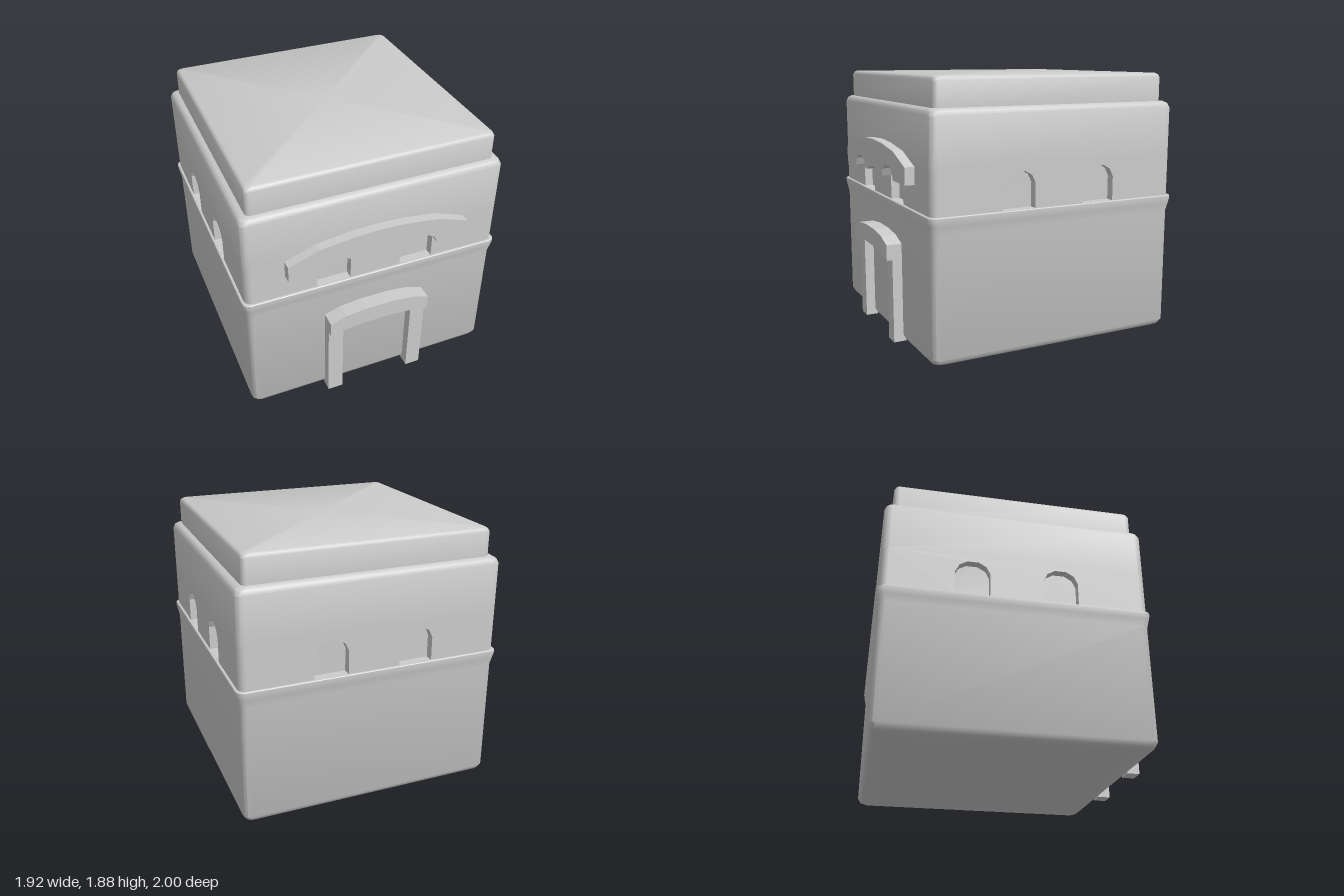
import * as THREE from 'three';
import { toCreasedNormals } from 'three/addons/utils/BufferGeometryUtils.js';

const MAT = new THREE.MeshStandardMaterial({ color: 0xcccccc });
const HX = 0.94, HZ = 0.935, CZ = -0.045, R = 0.05; // body half sizes, centre, corner radius
const FRONT = CZ + HZ, WIN_X = 0.31, FLOOR = 1.0, WALL_TOP = 1.3, DEPTH = 0.06;

// Right half of a window arch above its straight jamb; mirrored for the left half
const ARCH = [[0.122, 1.17], [0.095, 1.225], [0.04, 1.257]];
const archOver = (cx) => [
  ...ARCH.map(([x, y]) => [cx - x, y]),
  ...[...ARCH].reverse().map(([x, y]) => [cx + x, y]),
];
const vecs = (pts) => pts.map(([x, y]) => new THREE.Vector2(x, y));

function part(name, geometry, x = 0, y = 0, z = 0) {
  const mesh = new THREE.Mesh(geometry, MAT);
  mesh.name = name;
  mesh.position.set(x, y, z);
  return mesh;
}

const extrude = (shape, depth) => new THREE.ExtrudeGeometry(shape, { depth, bevelEnabled: false });

// Stack of rounded rectangles, each level given as [height, outward offset]
function loft(hx, hz, r, levels) {
  const seg = 3, n = 4 * (seg + 1), pos = [], idx = [];
  const signs = [[1, 1], [-1, 1], [-1, -1], [1, -1]];
  for (const [y, off] of levels) {
    signs.forEach(([sx, sz], q) => {
      for (let i = 0; i <= seg; i++) {
        const a = (q + i / seg) * Math.PI / 2;
        pos.push(sx * (hx + off - r) + r * Math.cos(a), y, sz * (hz + off - r) + r * Math.sin(a));
      }
    });
  }
  for (let l = 0; l < levels.length - 1; l++) {
    for (let i = 0; i < n; i++) {
      const a = l * n + i, b = l * n + (i + 1) % n;
      idx.push(a, a + n, b, b, a + n, b + n);
    }
  }
  // End caps
  const last = (levels.length - 1) * n, c0 = levels.length * n;
  pos.push(0, levels[0][0], 0, 0, levels[levels.length - 1][0], 0);
  for (let i = 0; i < n; i++) {
    const j = (i + 1) % n;
    idx.push(c0, i, j, c0 + 1, last + j, last + i);
  }
  const g = new THREE.BufferGeometry();
  g.setAttribute('position', new THREE.Float32BufferAttribute(pos, 3));
  g.setIndex(idx);
  return toCreasedNormals(g, 0.65);
}

// Wall strip with two arched openings
function windowWall(half) {
  const shape = new THREE.Shape(vecs([[-half, FLOOR], [half, FLOOR], [half, WALL_TOP], [-half, WALL_TOP]]));
  for (const s of [-1, 1]) {
    const cx = s * WIN_X;
    shape.holes.push(new THREE.Path(vecs([
      [cx - 0.122, FLOOR + 0.001], ...archOver(cx), [cx + 0.122, FLOOR + 0.001],
    ])));
  }
  return extrude(shape, DEPTH);
}

export function createModel() {
  const model = new THREE.Group();
  model.name = 'house';

  // Body: rounded base, flared floor band, recessed window storey, rounded eaves
  model.add(part('body', loft(HX, HZ, R, [
    [0, -0.045], [0.015, -0.018], [0.05, 0],
    [0.88, 0], [0.94, 0.012], [0.975, 0.018], [0.995, 0.017], [FLOOR, 0.012],
    [FLOOR, -DEPTH], [WALL_TOP, -DEPTH], [WALL_TOP, 0],
    [1.635, 0], [1.665, -0.012], [1.68, -0.035],
  ]), 0, 0, CZ));

  // Roof slab
  model.add(part('roof', loft(0.88, 0.88, 0.035, [
    [1.66, 0], [1.85, 0], [1.87, -0.009], [1.88, -0.025],
  ]), 0, 0, CZ + 0.005));

  // Window walls on all four sides
  const walls = new THREE.Group();
  walls.name = 'windowStorey';
  walls.position.z = CZ;
  for (let k = 0; k < 4; k++) {
    const along = k % 2 ? HZ : HX, out = k % 2 ? HX : HZ;
    const side = new THREE.Group();
    side.name = 'wallSide';
    side.rotation.y = k * Math.PI / 2;
    side.add(part('windowWall', windowWall(along - R), 0, 0, out - DEPTH));
    walls.add(side);
  }
  // Rounded corner posts
  const post = new THREE.CylinderGeometry(R, R, WALL_TOP - FLOOR, 12);
  for (const sx of [-1, 1]) for (const sz of [-1, 1]) {
    walls.add(part('cornerPost', post, sx * (HX - R), (FLOOR + WALL_TOP) / 2, sz * (HZ - R)));
  }
  model.add(walls);

  // Curved hood above the front windows, notched around their arches
  const hood = new THREE.Shape(vecs([
    [-0.66, 1.17], [-0.44, 1.17], ...archOver(-WIN_X), [-0.188, 1.18], [-0.165, 1.172],
    [-0.12, 1.187], [-0.06, 1.208], [0, 1.214], [0.06, 1.208], [0.12, 1.187],
    [0.165, 1.172], [0.188, 1.18], ...archOver(WIN_X), [0.44, 1.17], [0.66, 1.17],
    [0.66, 1.29], [0.44, 1.37], [0.2, 1.402], [0, 1.412], [-0.2, 1.402], [-0.44, 1.37], [-0.66, 1.29],
  ]));
  model.add(part('windowHood', extrude(hood, 0.07), 0, 0, FRONT));

  // Door frame: two posts and a curved lintel
  for (const s of [-1, 1]) {
    model.add(part('doorPost', new THREE.BoxGeometry(0.112, 0.62, 0.09), s * 0.322, 0.31, FRONT + 0.025));
  }
  const lintel = new THREE.Shape(vecs([
    [-0.378, 0.602], [-0.26, 0.625], [-0.1, 0.64], [0.1, 0.64], [0.26, 0.625], [0.378, 0.602],
    [0.378, 0.712], [0.26, 0.752], [0.1, 0.77], [-0.1, 0.77], [-0.26, 0.752], [-0.378, 0.712],
  ]));
  model.add(part('doorLintel', extrude(lintel, 0.11), 0, 0, FRONT));

  return model;
}
